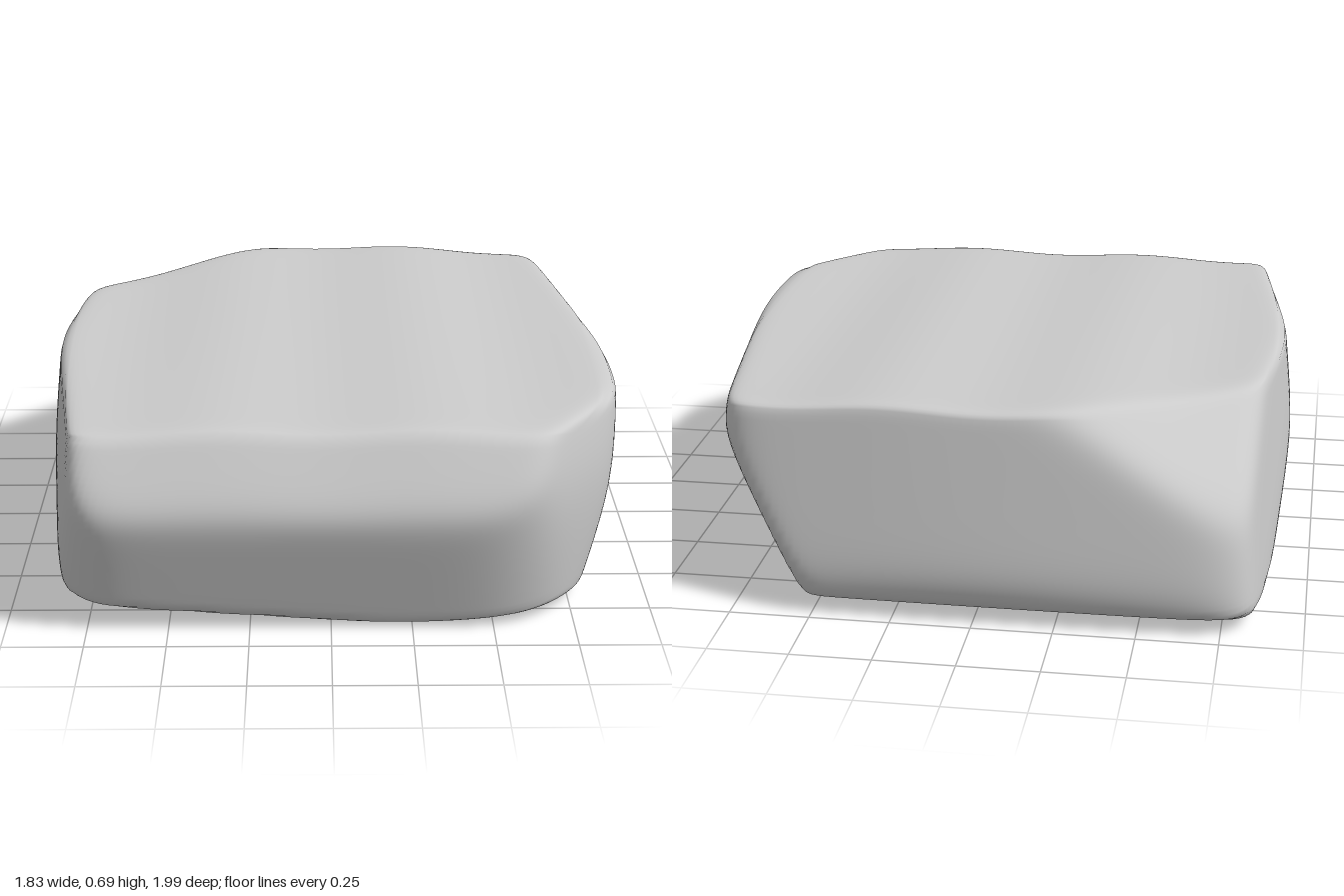
import * as THREE from 'three';
import { mergeVertices } from 'three/addons/utils/BufferGeometryUtils.js';

const CENTRE = new THREE.Vector3(0, 0.34, 0);
const SHARPNESS = 40;

// Each cut face of the stone: outward normal, then a point on it
const FACES = [
  [[0.035, 1, 0.01], [0, 0.685, 0]],            // top, falling to the left
  [[-0.03, 1, 0.01], [0, 0.685, 0]],            // top, falling to the right
  [[0, 1, 0.035], [0, 0.685, 0]],               // top, falling to the front
  [[0, -1, -0.05], [0, -0.005, 0]],             // underside, rising to the back
  [[-0.08, -1, 0.03], [0, -0.005, 0]],          // underside, rising to the right
  [[0.055, -1, 0], [0, -0.005, 0]],             // underside, rising to the left
  [[0, 0.24, 0.42], [0, 0.42, 1.015]],          // front, upper slope
  [[0, -0.13, 0.4], [0, 0.42, 1.015]],          // front, lower slope
  [[0.608, -0.3, -0.128], [0.79, 0.05, 0.3]],   // left side, deep undercut
  [[0.4, -0.13, 0], [0.805, 0.05, 0.3]],        // left side, front undercut
  [[1, 0.25, -0.14], [0.925, 0.5, 0]],          // left side, towards the back
  [[1, 0, 0.06], [0.92, 0.4, 0.2]],             // left side, towards the front
  [[0.81, 0.22, 0.59], [0.785, 0.5, 0.755]],    // broad front corner, upper
  [[0.81, -0.12, 0.59], [0.785, 0.4, 0.755]],   // broad front corner, lower
  [[0.2, -0.12, 0.42], [0.55, 0.4, 0.985]],     // broad front corner, blend
  [[-1, 0.12, 0.14], [-0.925, 0.35, 0.15]],     // right side, towards the front
  [[-1, 0.1, -0.12], [-0.925, 0.35, -0.1]],     // right side, towards the back
  [[-1, -0.25, 0.05], [-0.93, 0.27, 0.1]],      // right side, lower
  [[-0.7, -0.22, 0.7], [-0.79, 0.4, 0.95]],     // small front corner
  [[0.06, 0.11, -1], [0, 0.15, -1.02]],         // back, towards the left
  [[-0.06, 0.11, -1], [0, 0.15, -1.02]],        // back, towards the right
  [[0, -0.6, -1], [0, 0.13, -1.01]],            // back, lower edge
  [[0.7, 0, -0.7], [0.76, 0.4, -0.91]],         // small back corner
  [[-0.5, 0.8, -0.65], [-0.55, 0.66, -0.74]],   // slanted back corner, upper
  [[-0.6, 0.1, -0.8], [-0.78, 0.4, -0.93]]      // slanted back corner, lower
].map(([n, p]) => {
  const normal = new THREE.Vector3(...n).normalize();
  const distance = new THREE.Vector3(...p).sub(CENTRE).dot(normal);
  return normal.divideScalar(distance);
});

// Soft intersection of all faces: moves v along its ray onto the rounded stone
function projectToStone(v) {
  v.normalize();
  let sum = 0;
  for (const face of FACES) sum += Math.max(0, face.dot(v)) ** SHARPNESS;
  return v.multiplyScalar(sum ** (-1 / SHARPNESS));
}

function createStoneGeometry() {
  let geometry = new THREE.BoxGeometry(1.8, 0.65, 1.9, 72, 32, 76);
  geometry.deleteAttribute('normal');
  geometry.deleteAttribute('uv');
  geometry = mergeVertices(geometry);

  const position = geometry.attributes.position;
  const v = new THREE.Vector3();
  for (let i = 0; i < position.count; i++) {
    projectToStone(v.fromBufferAttribute(position, i));
    // Gentle unevenness of the worn top
    v.y += 0.007 * Math.cos(v.x * 10 + 3.44) * Math.max(0, v.y / 0.33);
    position.setXYZ(i, v.x, v.y, v.z);
  }

  // Stand the stone on the ground, centred
  geometry.center();
  geometry.computeBoundingBox();
  geometry.translate(0, -geometry.boundingBox.min.y, 0);
  geometry.computeVertexNormals();
  return geometry;
}

export function createModel() {
  const group = new THREE.Group();
  group.name = 'stoneSlab';
  const stone = new THREE.Mesh(
    createStoneGeometry(),
    new THREE.MeshStandardMaterial({ color: 0xcccccc })
  );
  stone.name = 'stone';
  group.add(stone);
  return group;
}
